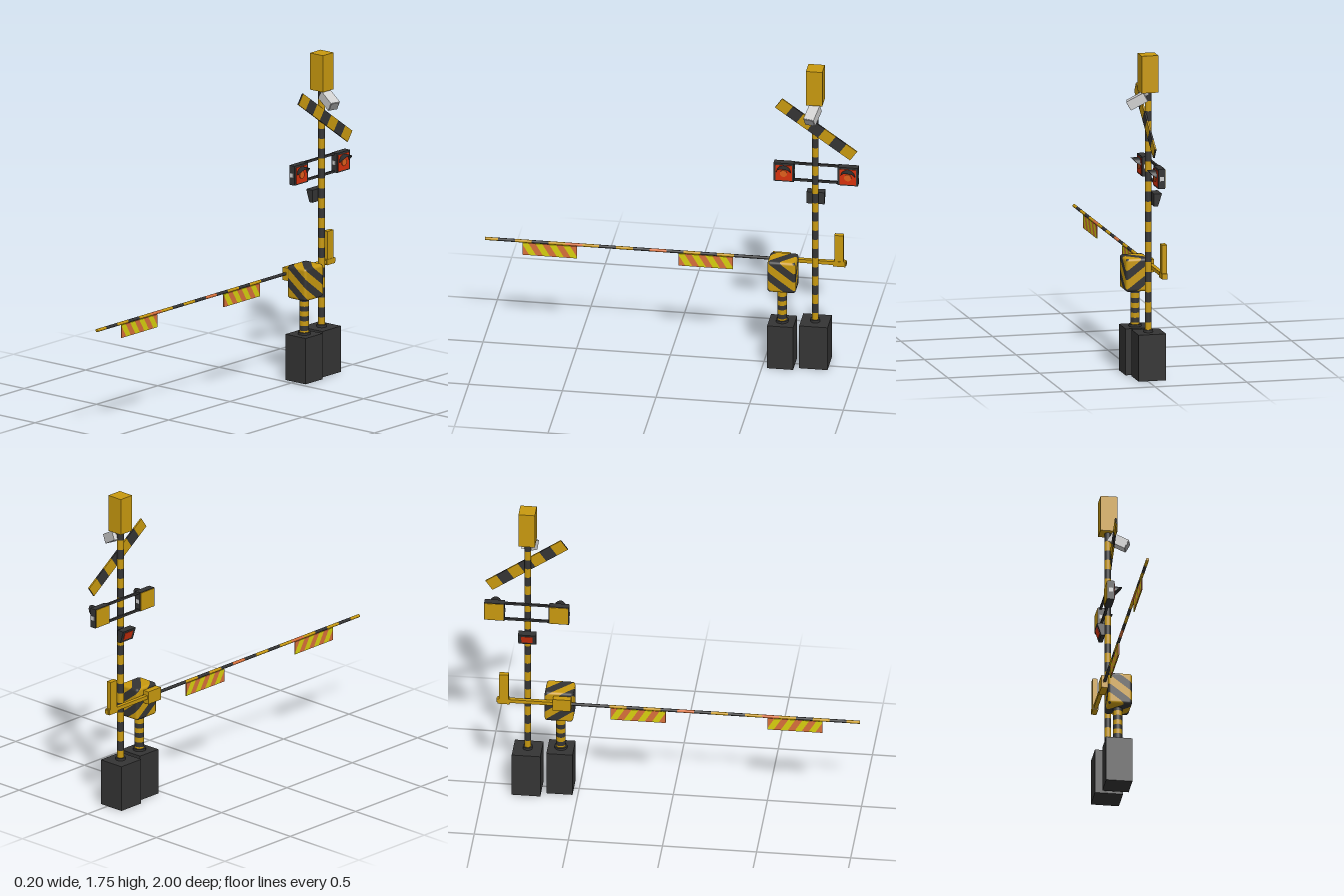
import * as THREE from 'three';
import { RoundedBoxGeometry } from 'three/addons/geometries/RoundedBoxGeometry.js';

const mat = (name, color, side = THREE.FrontSide) => {
  const m = new THREE.MeshStandardMaterial({ color, side });
  m.name = name;
  return m;
};

// Keeps the part of a polygon where sign * (f - limit) >= 0; a corner is { p, n, f }.
function clip(poly, limit, sign) {
  const out = [];
  poly.forEach((a, i) => {
    const b = poly[(i + 1) % poly.length];
    const da = sign * (a.f - limit), db = sign * (b.f - limit);
    if (da >= 0) out.push(a);
    if (da * db < 0) {
      const t = da / (da - db);
      out.push({ p: a.p.clone().lerp(b.p, t), n: a.n.clone().lerp(b.n, t).normalize(), f: limit });
    }
  });
  return out;
}

// Cuts a geometry into parallel bands along dir; pick(i) gives the material index of band i.
function banded(source, dir, width, start, pick = (i) => Math.abs(i) % 2) {
  const geo = source.index ? source.toNonIndexed() : source;
  const P = geo.attributes.position, N = geo.attributes.normal, buckets = [];
  for (let k = 0; k < P.count; k += 3) {
    const tri = [0, 1, 2].map((j) => {
      const p = new THREE.Vector3().fromBufferAttribute(P, k + j);
      const n = new THREE.Vector3().fromBufferAttribute(N, k + j);
      return { p, n, f: (p.dot(dir) - start) / width };
    });
    const fs = tri.map((v) => v.f);
    for (let i = Math.floor(Math.min(...fs)); i <= Math.floor(Math.max(...fs)); i++) {
      const poly = clip(clip(tri, i, 1), i + 1, -1);
      const bucket = (buckets[pick(i)] ??= []);
      for (let j = 1; j < poly.length - 1; j++) bucket.push(poly[0], poly[j], poly[j + 1]);
    }
  }
  const out = new THREE.BufferGeometry(), pos = [], nor = [];
  buckets.forEach((bucket, m) => {
    out.addGroup(pos.length / 3, bucket.length, m);
    bucket.forEach((v) => { pos.push(...v.p.toArray()); nor.push(...v.n.toArray()); });
  });
  out.setAttribute('position', new THREE.Float32BufferAttribute(pos, 3));
  out.setAttribute('normal', new THREE.Float32BufferAttribute(nor, 3));
  return out;
}

export function createModel() {
  const root = new THREE.Group();
  root.name = 'levelCrossingBarrier';
  const yellow = mat('safetyYellow', 0xc8990f);
  const dark = mat('darkGrey', 0x343434);
  const hoodDark = mat('hoodGrey', 0x2b2b2b, THREE.DoubleSide);
  const red = mat('signalRed', 0xd8320c);
  const orange = mat('lampOrange', 0xe0601c);
  const lime = mat('panelYellow', 0xd8d00e);
  const coral = mat('panelOrange', 0xd8703a);
  const white = mat('lightGrey', 0xcfcfcf);
  const grey = mat('midGrey', 0xa8a8a8);
  const hazard = [yellow, dark];
  const X = new THREE.Vector3(1, 0, 0), Y = new THREE.Vector3(0, 1, 0), Z = new THREE.Vector3(0, 0, 1);

  const add = (name, geo, material, x = 0, y = 0, z = 0, parent = root) => {
    const m = new THREE.Mesh(geo, material);
    m.name = name;
    m.position.set(x, y, z);
    parent.add(m);
    return m;
  };
  // Box given by its limits on each axis
  const span = (name, material, [x0, x1], [y0, y1], [z0, z1], parent) =>
    add(name, new THREE.BoxGeometry(x1 - x0, y1 - y0, z1 - z0), material,
      (x0 + x1) / 2, (y0 + y1) / 2, (z0 + z1) / 2, parent);

  // Foundations
  span('postBase', dark, [-0.1, 0.05], [0, 0.25], [-0.847, -0.695]);
  span('machineBase', dark, [-0.065, 0.075], [0, 0.25], [-0.667, -0.528]);

  // Main post with horizontal bands and top box
  const px = -0.021, pz = -0.771;
  const post = new THREE.CylinderGeometry(0.018, 0.018, 1.3, 16);
  add('mainPost', banded(post, Y, 1.3 / 24, -0.65), hazard, px, 0.9, pz);
  add('postCollar', new THREE.CylinderGeometry(0.026, 0.026, 0.015, 16), dark, px, 0.257, pz);
  span('topBox', yellow, [-0.065, 0.025], [1.545, 1.745], [-0.815, -0.728]);

  // Tilted speaker below the top box
  const speaker = new THREE.Group();
  speaker.name = 'speaker';
  speaker.position.set(0.037, 1.497, -0.765);
  speaker.rotation.set(0, -0.25, -0.5);
  root.add(speaker);
  add('speakerBody', new THREE.BoxGeometry(0.1, 0.052, 0.058), white, 0, 0, 0, speaker);
  add('speakerFace', new THREE.BoxGeometry(0.004, 0.046, 0.052), grey, 0.051, 0, 0, speaker);
  add('speakerBracket', new THREE.BoxGeometry(0.05, 0.015, 0.02), grey, -0.045, 0.01, 0, speaker);

  // Slanted warning board
  const board = new THREE.BoxGeometry(0.009, 0.065, 0.49);
  add('warningBoard', banded(board, Z, 0.07, -0.245), hazard, -0.004, 1.392, -0.778).rotation.x = -0.615;

  // Pair of signal lamps with slant-cut half-round hoods
  const hood = new THREE.CylinderGeometry(0.038, 0.038, 1, 16, 1, true, 0, Math.PI);
  hood.rotateZ(Math.PI / 2);
  const hp = hood.attributes.position;
  for (let i = 0; i < hp.count; i++) {
    const reach = 0.008 + 0.04 * Math.max(0, hp.getY(i)) / 0.038;
    hp.setX(i, hp.getX(i) > 0 ? reach : 0);
  }
  hood.computeVertexNormals();
  for (const [name, z] of [['frontLamp', -0.602], ['rearLamp', -0.945]]) {
    const lamp = new THREE.Group();
    lamp.name = name;
    lamp.position.set(0, 1.117, z);
    root.add(lamp);
    span('lampHousing', dark, [-0.055, -0.018], [-0.053, 0.053], [-0.054, 0.054], lamp);
    span('lampFace', red, [-0.018, -0.015], [-0.046, 0.042], [-0.044, 0.044], lamp);
    span('lampBack', yellow, [-0.058, -0.055], [-0.05, 0.05], [-0.05, 0.05], lamp);
    for (const s of [-1, 1])
      add('sideLabel', new THREE.BoxGeometry(0.02, 0.022, 0.003), white, -0.037, 0, s * 0.0545, lamp);
    add('lampBulb', new THREE.CylinderGeometry(0.019, 0.019, 0.006, 20), orange, -0.013, -0.004, 0, lamp)
      .rotation.z = Math.PI / 2;
    add('lampHood', hood, hoodDark, -0.017, 0.003, 0, lamp);
  }
  for (const y of [1.166, 1.069])
    span('lampRail', dark, [-0.046, -0.034], [y - 0.006, y + 0.006], [-0.895, -0.65]);

  // Small indicator with a sloping face behind the post
  const wedge = new THREE.Shape([[-0.085, 1], [-0.063, 0.932], [-0.042, 0.932], [-0.042, 1]]
    .map(([x, y]) => new THREE.Vector2(x, y)));
  add('rearIndicator', new THREE.ExtrudeGeometry(wedge, { depth: 0.095, bevelEnabled: false }),
    dark, 0, 0, -0.816);
  add('rearIndicatorFace', new THREE.BoxGeometry(0.003, 0.045, 0.06), red, -0.0745, 0.966, -0.769)
    .rotation.z = 0.313;

  // Drive machine: banded leg and diagonally striped housing
  const leg = new THREE.CylinderGeometry(0.025, 0.025, 0.21, 16);
  add('machineLeg', banded(leg, Y, 0.0265, -0.105), hazard, 0.006, 0.35, -0.598);
  add('machineLegCollar', new THREE.CylinderGeometry(0.034, 0.034, 0.012, 16), dark, 0.006, 0.256, -0.598);
  const housing = new RoundedBoxGeometry(0.13, 0.18, 0.152, 2, 0.016);
  const slant = new THREE.Vector3(0.75, 1, -0.75);
  add('machineHousing', banded(housing, slant, 0.05, -0.025, (i) => 1 - Math.abs(i) % 2),
    hazard, 0.01, 0.538, -0.603);

  // Arm holder, counterweight lever and weight
  const ax = -0.072, ay = 0.577;
  span('armHolder', yellow, [-0.09, -0.054], [0.54, 0.61], [-0.63, -0.535]);
  add('holderBolt', new THREE.CylinderGeometry(0.01, 0.01, 0.004, 12), yellow, ax, ay, -0.534)
    .rotation.x = Math.PI / 2;
  span('counterLever', yellow, [-0.083, -0.061], [0.567, 0.587], [-0.93, -0.62]);
  span('counterFoot', yellow, [-0.087, -0.058], [0.56, 0.59], [-0.925, -0.86]);
  span('counterweight', yellow, [-0.087, -0.06], [0.56, 0.743], [-0.915, -0.866]);
  add('driveShaft', new THREE.CylinderGeometry(0.02, 0.02, 0.03, 16), dark, -0.05, ay, -0.603)
    .rotation.z = Math.PI / 2;

  // Barrier arm: dark root, then alternating bands with two orange ones
  const arm = new THREE.CylinderGeometry(0.0085, 0.0085, 1.535, 12).rotateX(Math.PI / 2).translate(0, 0, 0.2325);
  const armBand = (i) => (i < 0 ? 1 : i === 4 || i === 9 ? 2 : i % 2);
  add('barrierArm', banded(arm, Z, 0.09, -0.33, armBand), [yellow, dark, coral], ax, ay, 0);

  // Reflective panels hanging from the arm
  const panelSlant = new THREE.Vector3(0, -0.6, 1);
  for (const z of [0.655, -0.178]) {
    const panel = new THREE.BoxGeometry(0.006, 0.07, 0.292);
    add('armPanel', banded(panel, panelSlant, 0.037, -0.13), [lime, coral], ax, 0.532, z);
  }
  return root;
}
